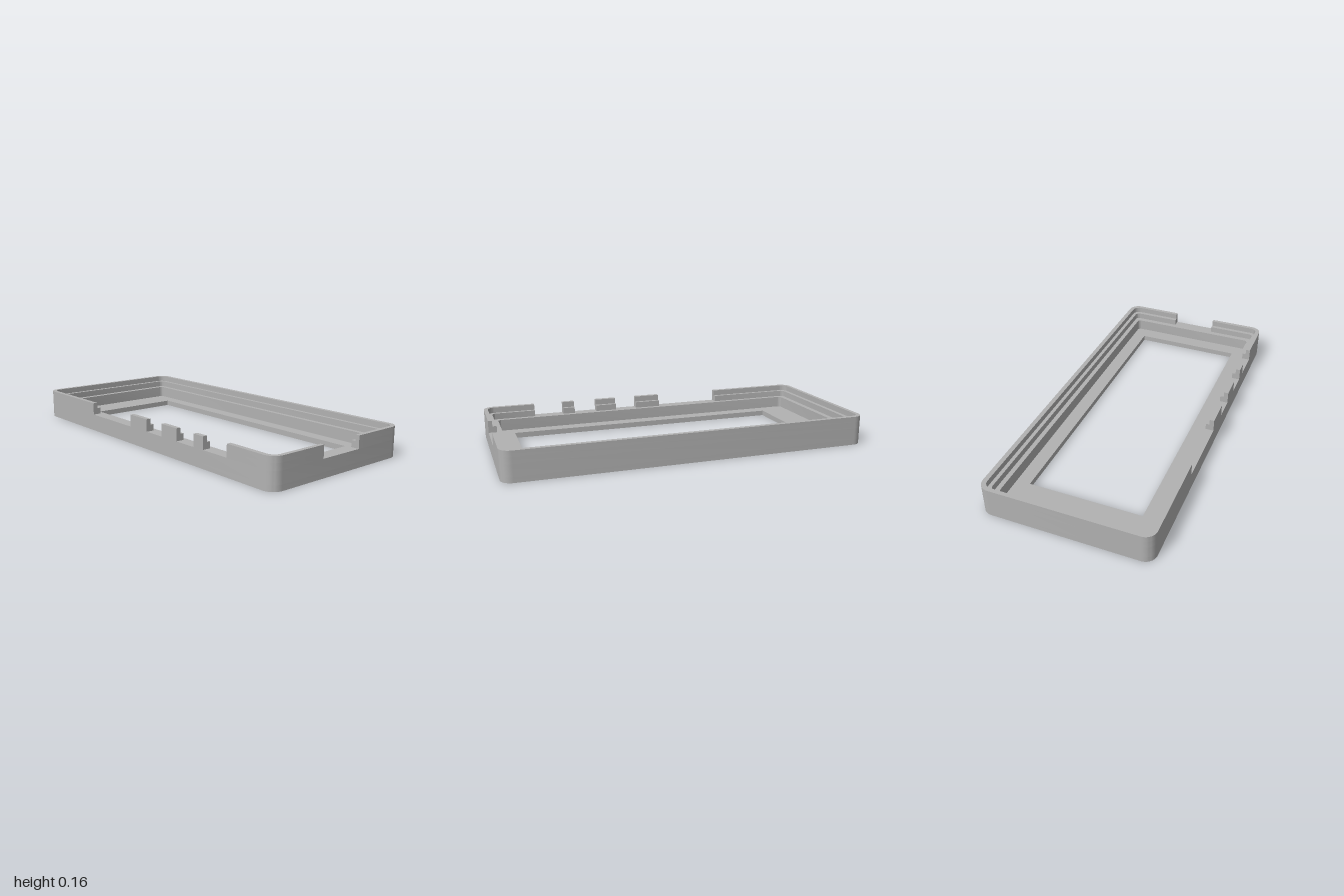
import * as THREE from 'three';
import { toCreasedNormals } from 'three/addons/utils/BufferGeometryUtils.js';

const OUTER = [0.455, 1, 0.06];      // half width, half length, corner radius
const CAVITY = [0.385, 0.925, 0.02];
const LEDGE = [0.41, 0.955, 0.025];
const LIP = [0.43, 0.978, 0.04];

// Four rounded corners (front left, back left, back right, front right) in plan; plan y is -z
function corners([hx, hz, r]) {
  const signs = [[1, -1], [1, 1], [-1, 1], [-1, -1]];
  return signs.map(([sx, sy], k) => {
    const pts = [];
    for (let i = 0; i <= 10; i++) {
      const a = (k - 1 + i / 10) * Math.PI / 2;
      pts.push(new THREE.Vector2(sx * (hx - r) + r * Math.cos(a), sy * (hz - r) + r * Math.sin(a)));
    }
    return pts;
  });
}

const v = (x, z) => new THREE.Vector2(x, -z);
const rect = (x0, x1, z0, z1) => [v(x0, z1), v(x1, z1), v(x1, z0), v(x0, z0)];

export function createModel() {
  const group = new THREE.Group();
  group.name = 'bezelFrame';
  const grey = new THREE.MeshStandardMaterial({ color: 0xb2b2b2 });
  grey.name = 'grey';

  // Extrude a plan outline upward from y0 to y1
  function slab(name, points, y0, y1, hole) {
    const shape = new THREE.Shape(points);
    if (hole) shape.holes.push(new THREE.Path(hole));
    const geo = new THREE.ExtrudeGeometry(shape, { depth: y1 - y0, bevelEnabled: false });
    geo.rotateX(-Math.PI / 2);
    geo.translate(0, y0, 0);
    const mesh = new THREE.Mesh(toCreasedNormals(geo, 0.5), grey);
    mesh.name = name;
    group.add(mesh);
  }

  // Floor with the window, and the unbroken lower wall
  slab('floor', corners(OUTER).flat(), 0, 0.03, rect(-0.31, 0.31, -0.76, 0.84));
  slab('lowerWall', corners(OUTER).flat(), 0.03, 0.095, corners(CAVITY).flat());

  // Two stepped upper layers, interrupted by the front notch and the side openings
  const notch = 0.128, backEnd = -0.46, frontEnd = 0.705;
  const layers = [['ledge', LEDGE, 0.095, 0.13], ['lip', LIP, 0.13, 0.162]];
  for (const [name, inner, y0, y1] of layers) {
    const o = corners(OUTER), n = corners(inner);
    // Long run: front notch, left side, back, to the first side opening
    slab(name + 'MainWall', [
      v(notch, 1), ...o[0], ...o[1], ...o[2], v(-OUTER[0], backEnd),
      v(-inner[0], backEnd), ...[...n[0], ...n[1], ...n[2]].reverse(), v(notch, inner[1]),
    ], y0, y1);
    // Short run around the front right corner
    slab(name + 'CornerWall', [
      v(-OUTER[0], frontEnd), ...o[3], v(-notch, 1),
      v(-notch, inner[1]), ...[...n[3]].reverse(), v(-inner[0], frontEnd),
    ], y0, y1);
    // Tabs standing between the side openings
    for (const [z0, z1] of [[-0.075, 0.075], [0.205, 0.33], [0.465, 0.535]])
      slab(name + 'Tab', rect(-OUTER[0], -inner[0], z0, z1), y0, y1);
  }
  return group;
}
